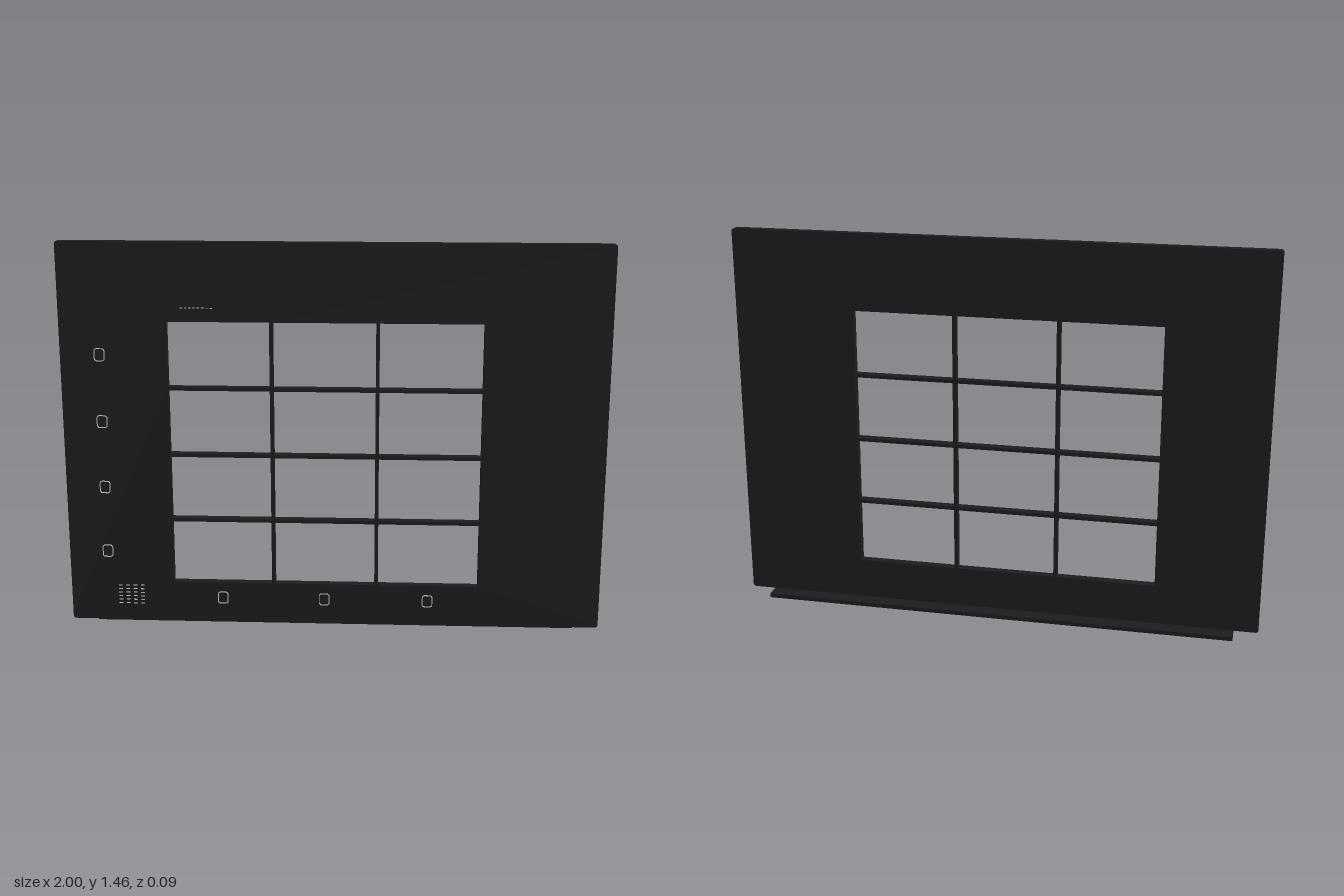
import * as THREE from 'three';

const BACK = 0.011, FRONT = 0.043, RAISE = 0.003;

// Rectangle with rounded corners, traced onto a Shape or Path
function roundedRect(path, x0, y0, x1, y1, r) {
  path.moveTo(x0 + r, y0);
  path.lineTo(x1 - r, y0);
  path.absarc(x1 - r, y0 + r, r, -Math.PI / 2, 0);
  path.lineTo(x1, y1 - r);
  path.absarc(x1 - r, y1 - r, r, 0, Math.PI / 2);
  path.lineTo(x0 + r, y1);
  path.absarc(x0 + r, y1 - r, r, Math.PI / 2, Math.PI);
  path.lineTo(x0, y0 + r);
  path.absarc(x0 + r, y0 + r, r, Math.PI, Math.PI * 1.5);
  return path;
}

function rectHole(x0, y0, x1, y1) {
  return new THREE.Path([[x0, y0], [x0, y1], [x1, y1], [x1, y0]].map(p => new THREE.Vector2(...p)));
}

export function createModel() {
  const model = new THREE.Group();
  const dark = new THREE.MeshStandardMaterial({ color: 0x1c1d1f });
  const grey = new THREE.MeshStandardMaterial({ color: 0xcccccc });

  function add(name, geometry, material, x = 0, y = 0, z = 0, parent = model) {
    const mesh = new THREE.Mesh(geometry, material);
    mesh.name = name;
    mesh.position.set(x, y, z);
    parent.add(mesh);
    return mesh;
  }

  // Panel with a 3 x 4 grid of windows; the dividing bars are part of the plate
  const panel = roundedRect(new THREE.Shape(), -1, 0.015, 1, 1.463, 0.01);
  const bar = 0.0065;
  const xs = [-0.606 - bar, -0.226, 0.161, 0.543 + bar];
  const ys = [0.171 - bar, 0.42, 0.672, 0.925, 1.174 + bar];
  for (let i = 0; i < 3; i++) {
    for (let j = 0; j < 4; j++) {
      panel.holes.push(rectHole(xs[i] + bar, ys[j] + bar, xs[i + 1] - bar, ys[j + 1] - bar));
    }
  }
  add('panel', new THREE.ExtrudeGeometry(panel, {
    depth: FRONT - BACK, bevelEnabled: false, curveSegments: 4,
  }), dark, 0, 0, BACK);

  // Ledge running backwards along the bottom edge
  add('bottomLedge', new THREE.BoxGeometry(1.816, 0.016, 0.063), dark, 0, 0.008, -0.0145);

  // Raised outline badges marking the rows and columns
  const badges = new THREE.Group();
  badges.name = 'badges';
  model.add(badges);
  const ring = roundedRect(new THREE.Shape(), -0.02, -0.024, 0.02, 0.024, 0.01);
  ring.holes.push(roundedRect(new THREE.Path(), -0.017, -0.021, 0.017, 0.021, 0.008));
  const ringGeo = new THREE.ExtrudeGeometry(ring, { depth: RAISE, bevelEnabled: false, curveSegments: 4 });
  for (const y of [1.05, 0.798, 0.545, 0.292]) add('rowBadge', ringGeo, grey, -0.855, y, FRONT, badges);
  for (const x of [-0.42, -0.035, 0.355]) add('columnBadge', ringGeo, grey, x, 0.11, FRONT, badges);

  // Small pins near the corners
  const pinGeo = new THREE.CylinderGeometry(0.005, 0.005, RAISE, 12).rotateX(Math.PI / 2);
  for (const x of [-0.865, 0.65, 0.955]) {
    for (const y of [0.108, 1.38]) add('pin', pinGeo, dark, x, y, FRONT + RAISE / 2);
  }

  // Tiny raised ticks: a block in the lower corner and a strip above the windows
  const ticks = new THREE.Group();
  ticks.name = 'ticks';
  model.add(ticks);
  const tickGeo = new THREE.BoxGeometry(0.014, 0.003, RAISE);
  for (let i = 0; i < 4; i++) {
    for (let j = 0; j < 6; j++) {
      add('cornerTick', tickGeo, grey, -0.812 + i * 0.028, 0.082 + j * 0.0145, FRONT + RAISE / 2, ticks);
    }
  }
  const dashGeo = new THREE.BoxGeometry(0.008, 0.003, RAISE);
  for (let i = 0; i < 8; i++) add('stripTick', dashGeo, grey, -0.55 + i * 0.0155, 1.225, FRONT + RAISE / 2, ticks);

  return model;
}
